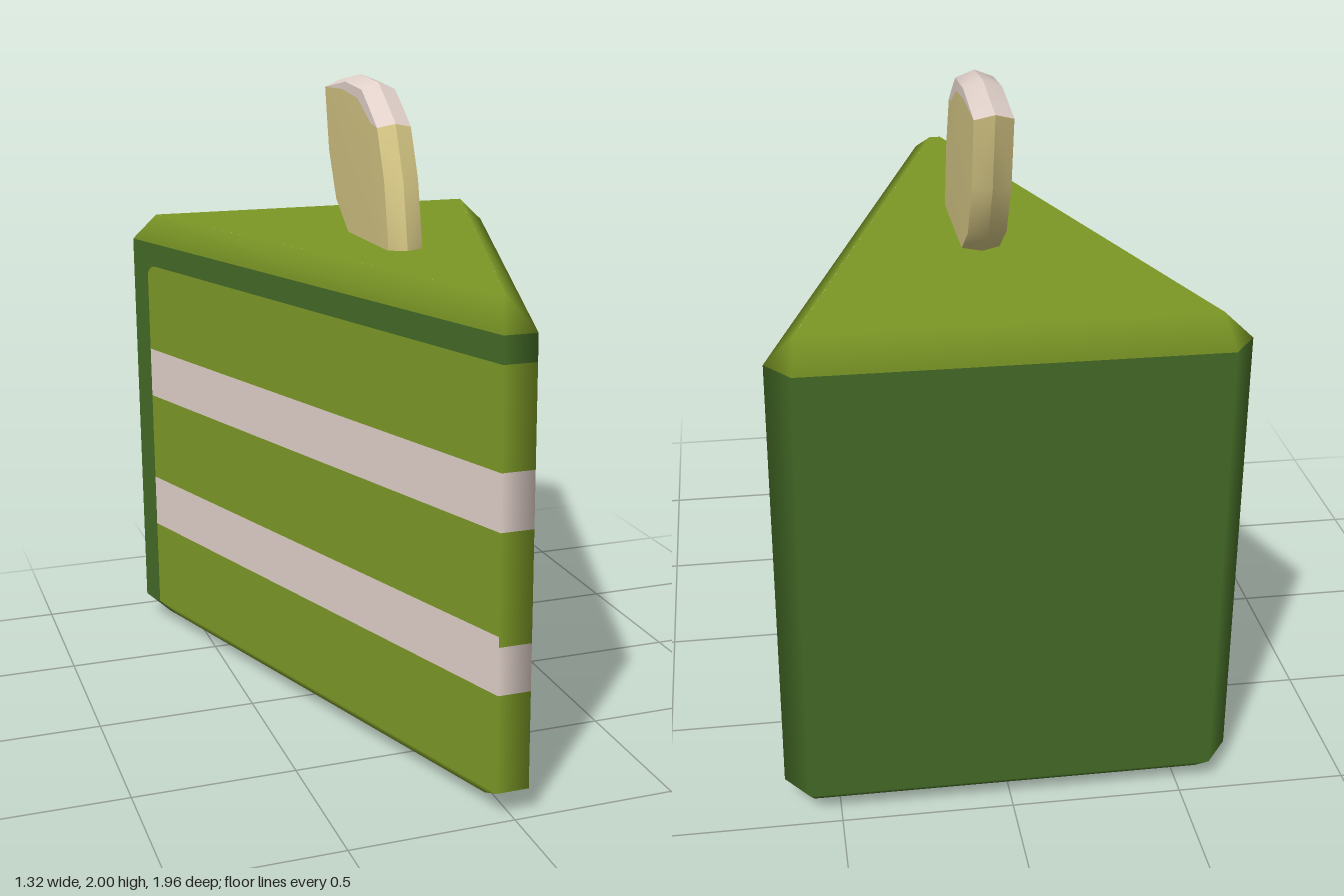
import * as THREE from 'three';
import { toCreasedNormals } from 'three/addons/utils/BufferGeometryUtils.js';

const material = (name, color, side = THREE.FrontSide) => {
  const m = new THREE.MeshStandardMaterial({ color, side });
  m.name = name;
  return m;
};

// Collects triangles per named part, turning each to face along its normals.
class Builder {
  constructor() { this.parts = {}; }
  tri(part, ...v) {
    const [a, b, c] = v.map(k => new THREE.Vector3(...k.p));
    const face = b.sub(a).cross(c.sub(a));
    if (face.lengthSq() < 1e-14) return;
    const sum = new THREE.Vector3();
    v.forEach(k => sum.add(new THREE.Vector3(...k.n)));
    if (face.dot(sum) < 0) v.reverse();
    const bin = (this.parts[part] ??= { p: [], n: [] });
    v.forEach(k => { bin.p.push(...k.p); bin.n.push(...k.n); });
  }
  quad(part, a, b, c, d) {
    this.tri(part, a, b, c);
    this.tri(part, a, c, d);
  }
  addTo(group, materials, crease) {
    for (const [name, { p, n }] of Object.entries(this.parts)) {
      let geo = new THREE.BufferGeometry();
      geo.setAttribute('position', new THREE.Float32BufferAttribute(p, 3));
      geo.setAttribute('normal', new THREE.Float32BufferAttribute(n, 3));
      if (crease) geo = toCreasedNormals(geo, crease);
      const mesh = new THREE.Mesh(geo, materials[name]);
      mesh.name = name;
      group.add(mesh);
    }
  }
}

const SIDE = [0.951, 0, 0.31], BACK = [0, 0, -1];
const TOP = 1.49, WALL_TOP = 1.41, WALL_BOTTOM = 0.08;

// Plan stations of the slice: outline point, inset point on the caps, wall normal.
const STATIONS = {
  tip: { o: [0.05, 0.98], i: [0.018, 0.82], n: SIDE },
  inner: { o: [0.631, -0.8], i: [0.555, -0.825], n: SIDE },
  corner: { o: [0.66, -0.89], i: [0.576, -0.89], n: SIDE },
  back: { o: [0.59, -0.98], i: [0.576, -0.89], n: BACK },
};
const station = (name, s) => {
  const { o, i, n } = STATIONS[name];
  return { o: [s * o[0], o[1]], i: [s * i[0], i[1]], n: [s * n[0], n[1], n[2]] };
};
const wall = (st, y) => ({ p: [st.o[0], y, st.o[1]], n: st.n });
const cap = (st, up) => ({ p: [st.i[0], up ? TOP : 0, st.i[1]], n: [0, up ? 1 : -1, 0] });

function cakeSlice(materials) {
  const b = new Builder();

  // One upright strip between two stations, with its bevels
  const column = (p, q, rows, bottomPart) => {
    let y = WALL_BOTTOM;
    for (const [part, end] of rows) {
      b.quad(part, wall(p, y), wall(q, y), wall(q, end), wall(p, end));
      y = end;
    }
    b.quad('topGlaze', wall(p, WALL_TOP), wall(q, WALL_TOP), cap(q, true), cap(p, true));
    b.quad(bottomPart, wall(p, WALL_BOTTOM), wall(q, WALL_BOTTOM), cap(q, false), cap(p, false));
  };
  const layers = creamTop => [
    ['sponge', 0.38], ['creamLayers', creamTop], ['sponge', 0.86],
    ['creamLayers', 1.03], ['sponge', 1.33], ['outerCoat', WALL_TOP],
  ];
  const coat = [['outerCoat', WALL_TOP]];

  for (const s of [1, -1]) {
    const [tip, inner, corner, back] = Object.keys(STATIONS).map(k => station(k, s));
    column(tip, inner, layers(s > 0 ? 0.53 : 0.557), 'sponge');
    column(inner, corner, coat, 'outerCoat');
    column(corner, back, coat, 'outerCoat');

    // Rounded inner corner of the coat border
    const r = 0.05, lift = 0.002;
    const at = (u, v) => ({
      p: [s * (0.631 - 0.31 * u + lift), 1.33 - v, -0.8 + 0.951 * u + lift * 0.3], n: inner.n,
    });
    for (let k = 0; k < 5; k++) {
      const arc = j => {
        const a = (j / 5) * Math.PI / 2;
        return at(r * (1 - Math.sin(a)), r * (1 - Math.cos(a)));
      };
      b.tri('outerCoat', at(0, 0), arc(k), arc(k + 1));
    }
  }
  column(station('tip', -1), station('tip', 1), layers(0.525), 'sponge');
  column(station('back', -1), station('back', 1), coat, 'outerCoat');

  // Flat top and base
  for (const up of [true, false]) {
    b.quad(up ? 'topGlaze' : 'sponge', ...[['tip', -1], ['tip', 1], ['corner', 1], ['corner', -1]]
      .map(([k, s]) => cap(station(k, s), up)));
  }
  const group = new THREE.Group();
  group.name = 'cakeSlice';
  b.addTo(group, materials);
  return group;
}

function wafer(materials) {
  const b = new Builder();
  // Ridge outline as [z, y], with the icing edge on the faces where there is icing
  const outline = [
    [0.1, 1.42], [0.11, 1.49], [0.07, 1.7],
    [0, 1.87], [-0.08, 1.93, -0.07, 1.868], [-0.16, 1.985, -0.2, 1.935],
    [-0.34, 2, -0.35, 1.952], [-0.57, 1.965],
    [-0.53, 1.74], [-0.45, 1.57], [-0.34, 1.49], [-0.25, 1.42],
  ];
  const [cz, cy] = [-0.22, 1.72];
  for (const s of [1, -1]) {
    const point = (x, z, y) => ({ p: [s * x, y, z], n: [s, (y - cy) * 2, (z - cz) * 2] });
    const ridge = ([z, y]) => point(0, z, y);
    const rim = ([z, y]) => point(0.056, cz + (z - cz) * 0.93, cy + (y - cy) * 0.92);
    const inner = o => (o.length > 2 ? point(0.058, o[2], o[3]) : rim(o));
    outline.forEach((p, i) => {
      const q = outline[(i + 1) % outline.length];
      const part = i >= 3 && i < 7 ? 'waferIcing' : 'waferBody';
      b.quad(part, ridge(p), ridge(q), rim(q), rim(p));
      b.quad(part, rim(p), rim(q), inner(q), inner(p));
      b.tri('waferBody', inner(p), inner(q), point(0.062, cz, cy));
    });
  }
  const group = new THREE.Group();
  group.name = 'wafer';
  b.addTo(group, materials, 0.6);
  return group;
}

export function createModel() {
  const green = material('leaf green', 0x7c9826);
  const cream = material('cream', 0xe0d0c9);
  const materials = {
    sponge: green,
    topGlaze: green,
    outerCoat: material('dark green', 0x446a26),
    creamLayers: cream,
    waferIcing: cream,
    waferBody: material('pale biscuit', 0xd6c785),
  };
  const model = new THREE.Group();
  model.name = 'layerCakeSlice';
  model.add(cakeSlice(materials), wafer(materials));
  return model;
}
